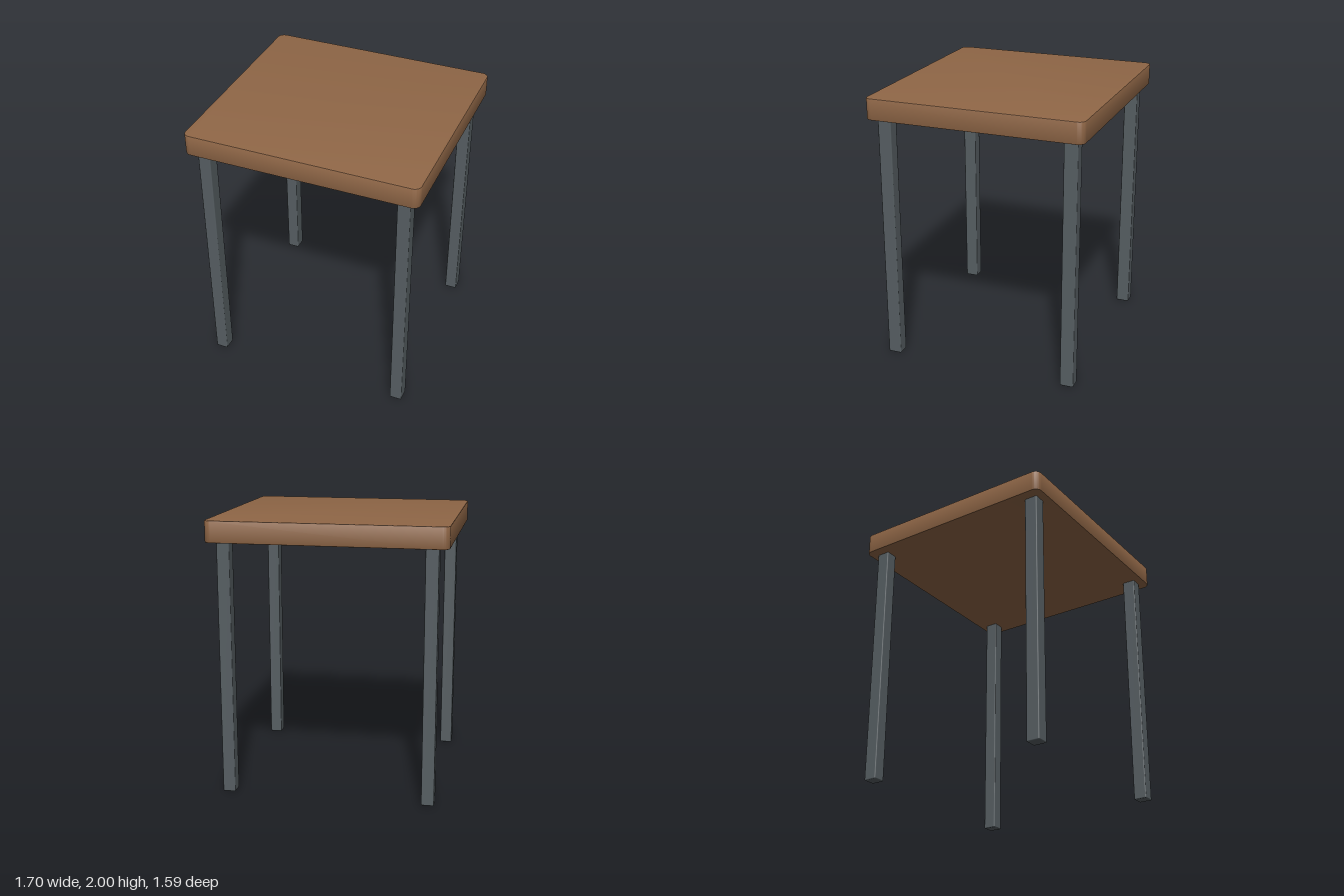
import * as THREE from 'three';
import { toCreasedNormals } from 'three/addons/utils/BufferGeometryUtils.js';
import { RoundedBoxGeometry } from 'three/addons/geometries/RoundedBoxGeometry.js';

// Rectangle outline with rounded corners, centred on the origin
function roundedRect(width, depth, radius) {
  const x = width / 2, y = depth / 2, r = radius;
  const shape = new THREE.Shape();
  shape.absarc(x - r, y - r, r, 0, Math.PI / 2);
  shape.absarc(-x + r, y - r, r, Math.PI / 2, Math.PI);
  shape.absarc(-x + r, -y + r, r, Math.PI, Math.PI * 1.5);
  shape.absarc(x - r, -y + r, r, Math.PI * 1.5, Math.PI * 2);
  shape.closePath();
  return shape;
}

export function createModel() {
  const wood = new THREE.MeshStandardMaterial({ color: 0x8f6646 });
  wood.name = 'brown wood';
  const metal = new THREE.MeshStandardMaterial({ color: 0x565e62 });
  metal.name = 'grey metal';

  const table = new THREE.Group();
  table.name = 'table';

  // Thick top with rounded corners and a fine edge bevel
  const bevel = 0.006, bottom = 1.845, thickness = 2 - bottom;
  const slab = new THREE.ExtrudeGeometry(roundedRect(1.7 - 2 * bevel, 1.59 - 2 * bevel, 0.045), {
    depth: thickness - 2 * bevel,
    bevelThickness: bevel,
    bevelSize: bevel,
    bevelSegments: 2,
    curveSegments: 6,
  });
  slab.rotateX(-Math.PI / 2);
  slab.translate(0, bottom + bevel, 0);
  const top = new THREE.Mesh(toCreasedNormals(slab, Math.PI / 5), wood);
  top.name = 'tableTop';
  table.add(top);

  // Four straight legs with slightly eased edges
  const legHeight = bottom + 0.003;
  const legGeometry = new RoundedBoxGeometry(0.092, legHeight, 0.1, 2, 0.008);
  for (const [zName, z] of [['front', 1], ['back', -1]]) {
    for (const [xName, x] of [['Left', 1], ['Right', -1]]) {
      const leg = new THREE.Mesh(legGeometry, metal);
      leg.name = zName + xName + 'Leg';
      leg.position.set(x * 0.73, legHeight / 2, z * 0.685);
      table.add(leg);
    }
  }
  return table;
}
